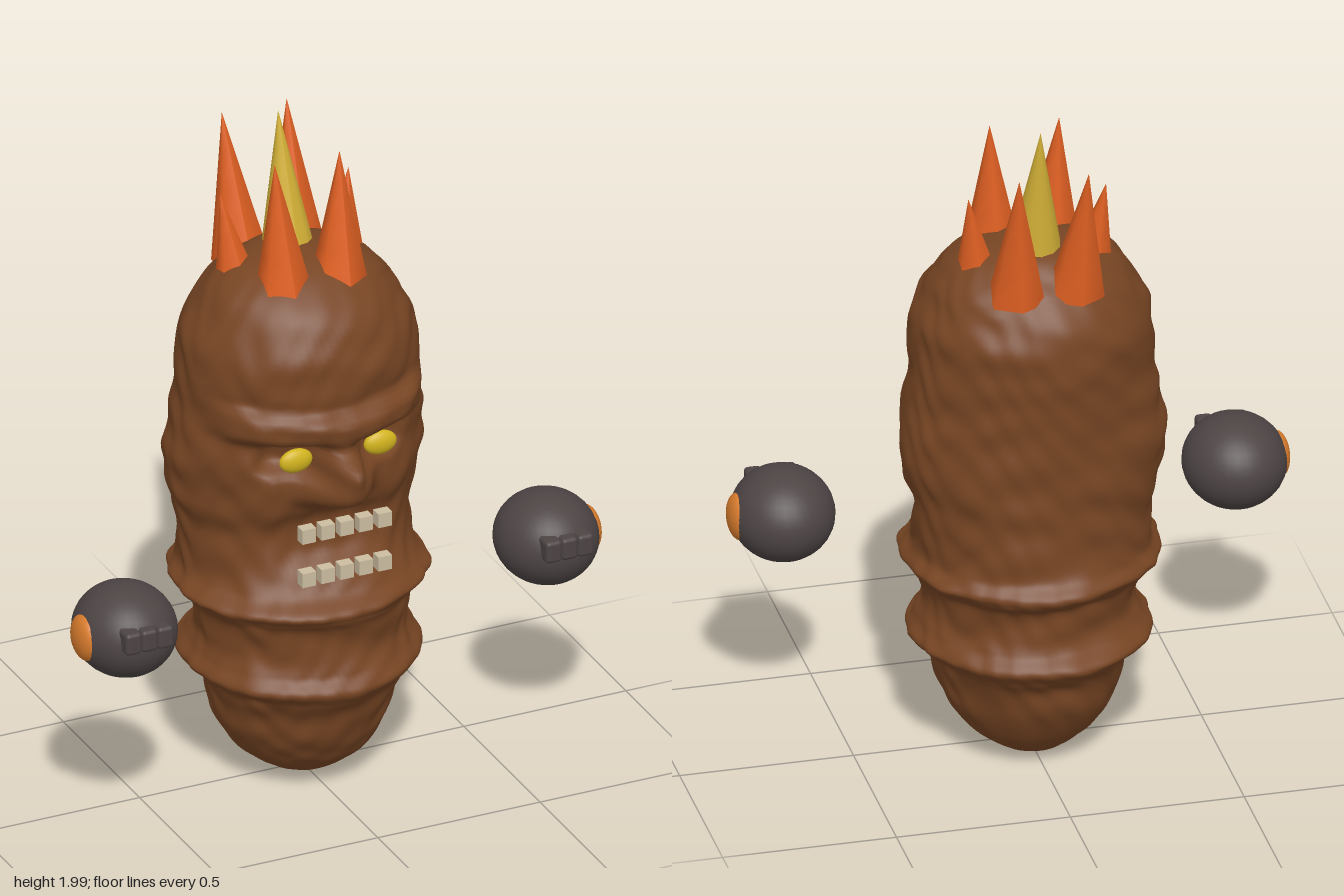
import * as THREE from 'three';
import { mergeVertices } from 'three/addons/utils/BufferGeometryUtils.js';
import { RoundedBoxGeometry } from 'three/addons/geometries/RoundedBoxGeometry.js';

const mat = (name, color) => {
  const m = new THREE.MeshStandardMaterial({ color });
  m.name = name;
  return m;
};

// Body cross-sections: height, half width, front reach, back reach
const SECTIONS = [
  [0.01, 0, -0.03, 0.03], [0.025, 0.08, 0.06, 0.12], [0.05, 0.13, 0.12, 0.165], [0.11, 0.2, 0.19, 0.22],
  [0.2, 0.25, 0.24, 0.27], [0.29, 0.275, 0.27, 0.295], [0.34, 0.295, 0.3, 0.33],
  [0.385, 0.345, 0.33, 0.365], [0.43, 0.32, 0.3, 0.325], [0.48, 0.3, 0.285, 0.31],
  [0.56, 0.315, 0.29, 0.32], [0.6, 0.345, 0.31, 0.365], [0.63, 0.37, 0.32, 0.38],
  [0.67, 0.34, 0.27, 0.35], [0.73, 0.335, 0.23, 0.34], [0.82, 0.34, 0.21, 0.335],
  [0.92, 0.365, 0.21, 0.335], [1.02, 0.38, 0.22, 0.335], [1.1, 0.37, 0.24, 0.335],
  [1.2, 0.35, 0.25, 0.34], [1.3, 0.345, 0.275, 0.345], [1.4, 0.33, 0.265, 0.34],
  [1.5, 0.28, 0.22, 0.29], [1.57, 0.22, 0.14, 0.22], [1.61, 0.13, 0.06, 0.16], [1.63, 0, -0.05, 0.05],
];

// Soft-edged bump; a higher power gives a flatter top and steeper sides
const bump = (d, size, power = 2) => Math.exp(-Math.pow(Math.abs(d) / size, power));

// Forward push that models brow, sockets, nose, cheeks and mouth
function faceRelief(x, y) {
  const ax = Math.abs(x);
  const brow = 0.06 * bump(y - 1.185 - 0.08 * ax, 0.05, 4) * bump(ax, 0.315, 14);
  const socket = -0.06 * bump(ax - 0.13, 0.085, 4) * bump(y - 1.1, 0.05, 4);
  const nose = 0.145 * bump(x, 0.065, 2.5) * bump(y - 1.035, 0.09, 4);
  const nostril = 0.05 * bump(ax - 0.08, 0.04) * bump(y - 0.995, 0.045, 3);
  const cheek = 0.025 * bump(ax - 0.2, 0.07) * bump(y - 0.97, 0.08);
  const mouth = -0.035 * bump(ax, 0.16, 4) * bump(y - 0.82, 0.08, 4);
  return brow + socket + nose + nostril + cheek + mouth;
}

// Small uneven lumps on the surface
const lumps = (x, y, z) =>
  0.010 * Math.sin(17 * x + 3 * Math.sin(11 * y)) * Math.sin(19 * y + 13 * z) +
  0.008 * Math.sin(41 * x + 23 * z) * Math.sin(47 * y - 29 * x + 2 * Math.sin(31 * z));

function bodyGeometry() {
  const widths = new THREE.CatmullRomCurve3(SECTIONS.map(([y, w]) => new THREE.Vector3(w, y, 0)), false, 'catmullrom', 0.5);
  const depths = new THREE.CatmullRomCurve3(SECTIONS.map(([y, , f, b]) => new THREE.Vector3(f, y, b)), false, 'catmullrom', 0.5);
  const rows = 200, around = 112;
  const profile = [], depth = [];
  for (let i = 0; i <= rows; i++) {
    const p = widths.getPoint(i / rows);
    profile.push(new THREE.Vector2(Math.max(p.x, 0), p.y));
    depth.push(depths.getPoint(i / rows));
  }
  let g = new THREE.LatheGeometry(profile, around, Math.PI);
  const pos = g.attributes.position;
  for (let i = 0; i < pos.count; i++) {
    const row = i % (rows + 1);
    const r = profile[row].x, { x: front, z: back } = depth[row];
    const phi = Math.PI + (Math.floor(i / (rows + 1)) % around) / around * Math.PI * 2;
    const sin = Math.sin(phi), cos = Math.cos(phi), y = profile[row].y;
    const half = r === 0 ? 0 : (front + back) / 2;
    const rough = 1 + 1.6 * lumps(r * sin, y, half * cos);
    const x = r * sin * rough;
    let z = (front - back) / 2 + half * cos * rough;
    if (cos > 0) z += faceRelief(x, y) * Math.min(1, cos * 4);
    pos.setXYZ(i, x, y, z);
  }
  g.deleteAttribute('uv');
  g.deleteAttribute('normal');
  g = mergeVertices(g, 1e-5);
  g.computeVertexNormals();
  return g;
}

// Cone whose tip leans from its base centre to a given point
function spikeGeometry(base, tip, radius, sides) {
  const h = tip[1] - base[1];
  const g = new THREE.ConeGeometry(radius, h, sides, 4);
  g.translate(0, h / 2, 0);
  const pos = g.attributes.position;
  for (let i = 0; i < pos.count; i++) {
    const t = pos.getY(i) / h;
    pos.setX(i, pos.getX(i) + base[0] + (tip[0] - base[0]) * t);
    pos.setZ(i, pos.getZ(i) + base[2] + (tip[2] - base[2]) * t);
    pos.setY(i, pos.getY(i) + base[1]);
  }
  g.computeVertexNormals();
  return g;
}

export function createModel() {
  const group = new THREE.Group();
  group.name = 'carvedHead';
  const wood = mat('brown wood', 0x774523);
  const flame = mat('flame orange', 0xe06022);
  const gold = mat('flame yellow', 0xd0ae36);
  const eyeYellow = mat('eye yellow', 0xd2b41e);
  const bone = mat('tooth bone', 0xcbbda0);
  const stone = mat('dark stone', 0x4d4444);
  const amber = mat('amber', 0xd67a2c);

  const add = (name, geometry, material, x = 0, y = 0, z = 0, parent = group) => {
    const m = new THREE.Mesh(geometry, material);
    m.name = name;
    m.position.set(x, y, z);
    parent.add(m);
    return m;
  };
  const ball = (rx, ry, rz) => new THREE.SphereGeometry(1, 32, 20).scale(rx, ry, rz);

  add('body', bodyGeometry(), wood);

  // Flame crown
  add('centreFlame', spikeGeometry([0, 1.56, -0.085], [0, 1.995, -0.155], 0.082, 12), gold);
  for (const s of [1, -1]) {
    const side = s > 0 ? 'left' : 'right';
    add(side + 'FrontFlame', spikeGeometry([s * 0.085, 1.56, 0.065], [s * 0.1, 1.935, 0.035], 0.078, 6), flame);
    add(side + 'SideFlame', spikeGeometry([s * 0.163, 1.53, -0.075], [s * 0.198, 1.79, -0.115], 0.062, 6), flame);
    add(side + 'BackFlame', spikeGeometry([s * 0.085, 1.51, -0.215], [s * 0.1, 1.935, -0.312], 0.085, 6), flame);

    // Eye
    add(side + 'Eye', ball(0.05, 0.036, 0.022), eyeYellow, s * 0.13, 1.105, 0.238);

    // Floating hand with three knuckles and an outer disc
    const hand = new THREE.Group();
    hand.name = side + 'Hand';
    group.add(hand);
    add('fist', ball(0.148, 0.135, 0.158), stone, s * 0.65, 0.685, 0.22, hand);
    for (let i = -1; i <= 1; i++) {
      add('knuckle', new RoundedBoxGeometry(0.05, 0.067, 0.1, 3, 0.012), stone, s * 0.648 + i * 0.049, 0.72, 0.338, hand);
    }
    add('outerDisc', ball(0.034, 0.068, 0.066), amber, s * 0.774, 0.685, 0.225, hand);
  }

  // Two rows of teeth
  for (const [name, y] of [['upperTooth', 0.891], ['lowerTooth', 0.754]]) {
    for (let i = -2; i <= 2; i++) {
      add(name, new THREE.BoxGeometry(0.042, 0.044, 0.034), bone, i * 0.0585, y, 0.282);
    }
  }
  return group;
}
